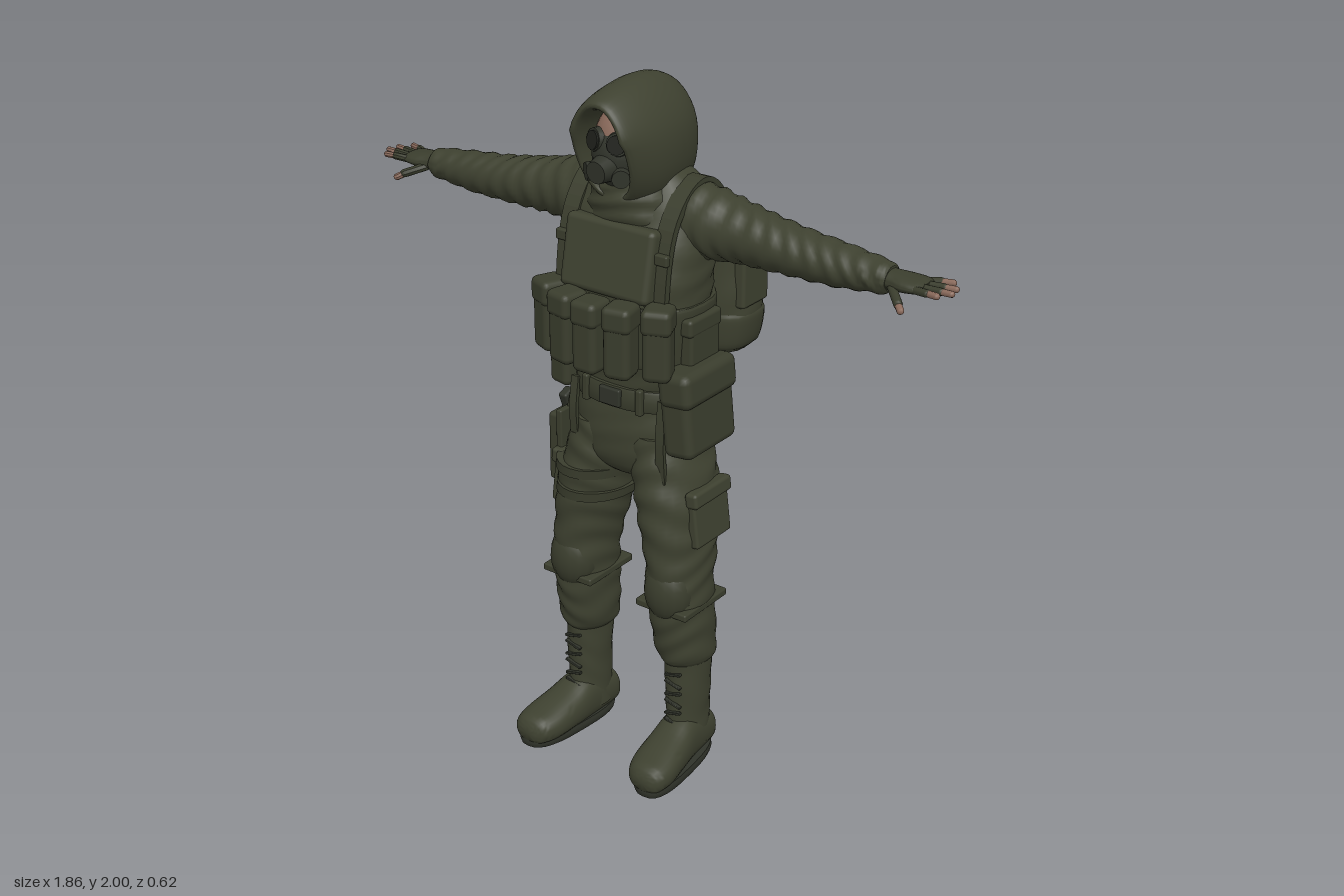
import * as THREE from 'three';
import { toCreasedNormals } from 'three/addons/utils/BufferGeometryUtils.js';
import { RoundedBoxGeometry } from 'three/addons/geometries/RoundedBoxGeometry.js';

const material = (name, color) => Object.assign(new THREE.MeshStandardMaterial({ color }), { name });

export function createModel() {
  const cloth = material('olive cloth', 0x3e4130);
  const gear = material('olive webbing', 0x3a3d2d);
  const rubber = material('dark rubber', 0x30332a);
  const glass = material('dark glass', 0x1f211c);
  const skin = material('skin', 0x8a6a5b);
  const model = new THREE.Group();
  model.name = 'soldier';

  const add = (name, geo, mat, pos = [0, 0, 0], rot = [0, 0, 0], scale = [1, 1, 1]) => {
    const mesh = new THREE.Mesh(geo, mat);
    mesh.name = name;
    mesh.position.set(...pos);
    mesh.rotation.set(...rot);
    mesh.scale.set(...scale);
    model.add(mesh);
    return mesh;
  };

  // Smooth skin through cross-sections [t, centreU, centreV, radiusU, radiusV].
  // Axis y: u = x, v = z. Axis x: u = z, v = y. Axis z: u = y, v = x.
  const loft = (rows, { axis = 'y', n = 2, sub = 5, seg = 28, wrinkle = 0, freq = 80, rule } = {}) => {
    const rings = [];
    for (let i = 0; i < rows.length - 1; i++) {
      const p = [rows[Math.max(i - 1, 0)], rows[i], rows[i + 1], rows[Math.min(i + 2, rows.length - 1)]];
      for (let k = 0; k < sub; k++) {
        const t = k / sub;
        rings.push(p[1].map((b, c) => b + 0.5 * t * (p[2][c] - p[0][c]
          + t * (2 * p[0][c] - 5 * b + 4 * p[2][c] - p[3][c]
          + t * (3 * b - p[0][c] - 3 * p[2][c] + p[3][c])))));
      }
    }
    rings.push(rows[rows.length - 1]);
    const pos = [], index = [];
    const put = (t, u, v) => {
      const q = axis === 'y' ? [u, t, v] : axis === 'x' ? [t, v, u] : [v, u, t];
      pos.push(...(rule ? rule(...q) : q));
    };
    const bend = (x) => Math.sign(x) * Math.abs(x) ** (2 / n);
    for (const [t, cu, cv, ru, rv] of rings) {
      for (let j = 0; j < seg; j++) {
        const a = j / seg * Math.PI * 2;
        const fold = 1 + wrinkle * Math.sin(t * freq + 2.2 * Math.sin(a * 2 + t * 9) + a);
        put(t, cu + ru * fold * bend(Math.cos(a)), cv + rv * fold * bend(Math.sin(a)));
      }
    }
    const last = rings.length - 1;
    for (const r of [rings[0], rings[last]]) put(r[0], r[1], r[2]);
    const base = rings.length * seg;
    for (let j = 0; j < seg; j++) {
      const k = (j + 1) % seg;
      for (let i = 0; i < last; i++) {
        const a = i * seg + j, b = i * seg + k;
        index.push(a, a + seg, b, b, a + seg, b + seg);
      }
      index.push(base, j, k, base + 1, last * seg + k, last * seg + j);
    }
    const geo = new THREE.BufferGeometry();
    geo.setAttribute('position', new THREE.Float32BufferAttribute(pos, 3));
    geo.setIndex(index);
    return toCreasedNormals(geo, 0.75);
  };

  // Reflected copy with corner order kept outward
  const reflect = (geo) => {
    const g = geo.index ? geo.toNonIndexed() : geo.clone();
    const p = g.attributes.position;
    for (let i = 0; i < p.count; i += 3) {
      const c = [0, 2, 1].map((k) => [-p.getX(i + k), p.getY(i + k), p.getZ(i + k)]);
      c.forEach((v, k) => p.setXYZ(i + k, ...v));
    }
    return toCreasedNormals(g, 0.75);
  };
  const pair = (name, geo, mat) => {
    add('left' + name, geo, mat);
    add('right' + name, reflect(geo), mat);
  };

  const box = (name, size, pos, mat = gear, rot) =>
    add(name, new RoundedBoxGeometry(...size, 2, Math.min(...size) * 0.25), mat, pos, rot);
  const pouch = (name, [w, h, d], [x, y, z], turn = 0) => {
    box(name, [w, h, d], [x, y, z], gear, [0, turn, 0]);
    box(name + 'Flap', [w * 1.08, h * 0.36, d * 1.1], [x, y + h * 0.34, z], gear, [0, turn, 0]);
  };

  // Flat strap following [z, y] points, with its width along x
  const strap = (name, pts, x, width, thick = 0.014) => {
    const curve = new THREE.SplineCurve(pts.map((p) => new THREE.Vector2(...p)));
    const line = curve.getPoints(20), side = [];
    line.forEach((p, i) => {
      const d = curve.getTangent(i / 20);
      side.push(new THREE.Vector2(p.x + d.y * thick, p.y - d.x * thick));
    });
    const geo = new THREE.ExtrudeGeometry(new THREE.Shape([...line, ...side.reverse()]), { depth: width, bevelEnabled: false });
    geo.rotateY(-Math.PI / 2).translate(x + width / 2, 0, 0);
    return add(name, geo, gear);
  };

  // Trousers and jacket
  add('hips', loft([[0.89, 0, 0.03, 0.09, 0.09], [0.93, 0, 0.03, 0.17, 0.125], [1.02, 0, 0.03, 0.19, 0.135],
    [1.12, 0, 0.03, 0.178, 0.125], [1.2, 0, 0.03, 0.168, 0.12]], { n: 2.3, wrinkle: 0.01 }), cloth);
  add('torso', loft([[1.15, 0, 0.03, 0.172, 0.12], [1.22, 0, 0.035, 0.182, 0.125], [1.32, 0, 0.04, 0.2, 0.135],
    [1.45, 0, 0.045, 0.212, 0.145], [1.55, 0, 0.035, 0.215, 0.135], [1.65, 0, 0.015, 0.2, 0.115],
    [1.72, 0, 0, 0.155, 0.095], [1.77, 0, 0.01, 0.09, 0.07]], { n: 2.5, wrinkle: 0.012 }), cloth);
  add('collar', loft([[1.62, 0, 0.04, 0.15, 0.11], [1.67, 0, 0.04, 0.135, 0.12], [1.72, 0, 0.035, 0.115, 0.12],
    [1.76, 0, 0.03, 0.1, 0.11]], { wrinkle: 0.03, freq: 120 }), cloth);
  pair('Sleeve', loft([[0.12, 0, 1.635, 0.08, 0.085], [0.2, 0, 1.63, 0.09, 0.097], [0.3, -0.008, 1.62, 0.081, 0.081],
    [0.4, -0.005, 1.612, 0.072, 0.071], [0.5, -0.006, 1.604, 0.066, 0.063], [0.6, -0.006, 1.6, 0.06, 0.057],
    [0.68, -0.004, 1.6, 0.053, 0.048], [0.735, -0.002, 1.6, 0.046, 0.042], [0.75, 0, 1.6, 0.036, 0.032]],
  { axis: 'x', sub: 8, wrinkle: 0.045, freq: 110 }), cloth);
  pair('TrouserLeg', loft([[0.325, 0.175, 0.045, 0.062, 0.075], [0.35, 0.173, 0.045, 0.078, 0.094],
    [0.42, 0.17, 0.055, 0.083, 0.102], [0.5, 0.168, 0.062, 0.084, 0.108], [0.58, 0.165, 0.07, 0.085, 0.112],
    [0.66, 0.16, 0.06, 0.09, 0.118], [0.75, 0.147, 0.05, 0.1, 0.13], [0.85, 0.13, 0.04, 0.108, 0.136],
    [0.95, 0.107, 0.03, 0.102, 0.135], [1.03, 0.09, 0.03, 0.095, 0.125]],
  { sub: 7, wrinkle: 0.028, freq: 75 }), cloth);

  // Boots
  pair('BootShaft', loft([[0.05, 0.178, 0.045, 0.058, 0.075], [0.15, 0.178, 0.045, 0.056, 0.075],
    [0.25, 0.178, 0.045, 0.06, 0.076], [0.36, 0.176, 0.045, 0.065, 0.08]], { wrinkle: 0.018, freq: 60 }), cloth);
  pair('BootFoot', loft([[-0.036, 0.06, 0.175, 0.04, 0.035], [-0.02, 0.07, 0.176, 0.058, 0.054],
    [0.08, 0.08, 0.182, 0.075, 0.06], [0.16, 0.068, 0.19, 0.06, 0.067], [0.24, 0.056, 0.2, 0.048, 0.07],
    [0.29, 0.05, 0.206, 0.04, 0.056], [0.308, 0.045, 0.208, 0.022, 0.03]], { axis: 'z', n: 2.4 }), cloth);
  const soleRule = (x, y, z) => [x + z * 0.1, y, z];
  pair('BootSole', loft([[0, 0.18, 0.136, 0.061, 0.168], [0.014, 0.18, 0.136, 0.066, 0.172],
    [0.03, 0.18, 0.136, 0.064, 0.17]], { n: 2.8, sub: 2, rule: soleRule }), rubber);
  for (const s of [-1, 1]) {
    for (let i = 0; i < 6; i++) {
      box('bootLace', [0.055, 0.008, 0.012], [s * 0.18, 0.14 + i * 0.032, 0.122], rubber, [0, 0, i % 2 ? 0.25 : -0.25]);
    }
    // Knee pads and cargo pockets
    add('kneePad', new THREE.SphereGeometry(1, 16, 12), gear, [s * 0.167, 0.575, 0.125], [0, 0, 0], [0.073, 0.095, 0.065]);
    box('kneePadBand', [0.172, 0.022, 0.2], [s * 0.166, 0.525, 0.065]);
    box('cargoPocket', [0.035, 0.16, 0.16], [s * 0.231, 0.8, 0.035], cloth, [0, 0, s * 0.12]);
    box('cargoFlap', [0.04, 0.045, 0.17], [s * 0.233, 0.865, 0.035], cloth, [0, 0, s * 0.12]);
  }

  // Gloves with bare fingertips
  pair('Glove', loft([[0.72, 0, 1.6, 0.034, 0.03], [0.76, -0.002, 1.6, 0.038, 0.026], [0.8, -0.004, 1.6, 0.048, 0.022],
    [0.835, -0.006, 1.6, 0.047, 0.017], [0.848, -0.006, 1.6, 0.038, 0.01]], { axis: 'x' }), gear);
  const finger = (name, from, to, r, mat) => {
    const a = new THREE.Vector3(...from), d = new THREE.Vector3(...to).sub(a);
    const geo = new THREE.CapsuleGeometry(r, d.length(), 3, 8);
    geo.applyQuaternion(new THREE.Quaternion().setFromUnitVectors(new THREE.Vector3(0, 1, 0), d.clone().normalize()));
    geo.translate(...a.addScaledVector(d, 0.5).toArray());
    pair(name, geo, mat);
  };
  [0.9, 0.922, 0.916, 0.89].forEach((tip, i) => {
    const z = 0.03 - i * 0.024, spread = 0.008 - i * 0.006;
    finger('Finger', [0.83, 1.6, z], [tip - 0.03, 1.603, z + spread], 0.0105, gear);
    finger('Fingertip', [tip - 0.025, 1.603, z + spread], [tip, 1.604, z + spread * 1.6], 0.009, skin);
  });
  finger('Thumb', [0.765, 1.59, 0.025], [0.81, 1.572, 0.07], 0.0125, gear);
  finger('ThumbTip', [0.812, 1.57, 0.072], [0.826, 1.562, 0.084], 0.01, skin);

  // Hood: closed shell whose rim folds back inside around the face
  add('hood', loft([[-0.122, 1.8, 0, 0.08, 0.05], [-0.1, 1.81, 0, 0.14, 0.09], [-0.04, 1.82, 0, 0.168, 0.115],
    [0.04, 1.825, 0, 0.175, 0.126], [0.12, 1.822, 0, 0.17, 0.122], [0.19, 1.822, 0, 0.152, 0.103],
    [0.212, 1.822, 0, 0.134, 0.085], [0.19, 1.82, 0, 0.122, 0.073], [0.1, 1.82, 0, 0.11, 0.066]],
  { axis: 'z', n: 2.25, seg: 36, rule: (x, y, z) => [
    x * (1 - 0.3 * Math.max(0, (y - 1.84) / 0.16) ** 2), y,
    z + Math.max(0, z) * (y > 1.86 ? 0.05 : (y - 1.86) * 1.7)] }), cloth);

  // Face, mask, lenses and filters
  add('face', new THREE.SphereGeometry(1, 24, 16), skin, [0, 1.835, 0.095], [0, 0, 0], [0.078, 0.105, 0.085]);
  add('mask', new THREE.SphereGeometry(1, 24, 16), rubber, [0, 1.808, 0.1], [0, 0, 0], [0.079, 0.1, 0.094]);
  for (const s of [-1, 1]) {
    add('lensFrame', new THREE.CylinderGeometry(0.03, 0.034, 0.02, 20), rubber, [s * 0.035, 1.85, 0.172], [1.4, 0, -s * 0.35]);
    add('lens', new THREE.CylinderGeometry(0.025, 0.025, 0.006, 20), glass, [s * 0.038, 1.851, 0.184], [1.4, 0, -s * 0.35]);
    add('filter', new THREE.CylinderGeometry(0.024, 0.026, 0.03, 18), rubber, [s * 0.048, 1.765, 0.178], [1.6, 0, -s * 0.65]);
  }
  add('breathingValve', new THREE.CylinderGeometry(0.03, 0.04, 0.05, 20), rubber, [0, 1.782, 0.197], [1.65, 0, 0]);

  // Vest, shoulder straps and magazine pouches
  box('chestPlate', [0.29, 0.2, 0.07], [0, 1.53, 0.152], cloth, [-0.2, 0, 0]);
  add('chestRig', loft([[1.245, 0, 0.04, 0.2, 0.143], [1.26, 0, 0.04, 0.206, 0.149], [1.4, 0, 0.044, 0.218, 0.155],
    [1.42, 0, 0.045, 0.213, 0.15]], { n: 2.6 }), gear);
  for (let i = -2; i <= 2; i++) {
    pouch('magazinePouch', [0.078, 0.2, 0.08], [i * 0.089, 1.343, 0.25 - 0.0145 * i * i], i * 0.2);
  }
  for (const s of [-1, 1]) {
    strap('shoulderStrap', [[-0.11, 1.56], [-0.1, 1.68], [-0.03, 1.74], [0.05, 1.725], [0.12, 1.65], [0.155, 1.55], [0.17, 1.43]], s * 0.155, 0.05, 0.02);
    box('strapBuckle', [0.056, 0.03, 0.02], [s * 0.155, 1.56, 0.155]);
    pouch('sidePouch', [0.04, 0.14, 0.13], [s * 0.21, 1.32, 0.05]);
  }

  // Belt, pouches and hanging straps
  add('belt', loft([[1.105, 0, 0.03, 0.184, 0.132], [1.112, 0, 0.03, 0.19, 0.138], [1.16, 0, 0.03, 0.187, 0.136],
    [1.167, 0, 0.03, 0.18, 0.13]], { n: 2.3, sub: 2 }), gear);
  box('beltBuckle', [0.07, 0.05, 0.018], [0, 1.137, 0.167], rubber);
  for (const x of [-0.09, 0.09]) box('beltLoop', [0.02, 0.075, 0.02], [x, 1.137, 0.157]);
  box('leftHipBag', [0.095, 0.24, 0.22], [0.225, 1.14, 0.08], gear, [0, 0, 0.1]);
  box('leftHipBagFlap', [0.105, 0.1, 0.235], [0.224, 1.215, 0.08], gear, [0, 0, 0.1]);
  pouch('rightHipPouch', [0.075, 0.15, 0.11], [-0.2, 1.175, 0.08], -0.2);
  for (const s of [-1, 1]) pouch('rearPouch', [0.09, 0.1, 0.04], [s * 0.09, 1.1, -0.1]);
  strap('leftHangingStrap', [[0.145, 1.15], [0.157, 1.03], [0.15, 0.91]], 0.155, 0.028, 0.012);
  strap('rightHangingStrap', [[0.145, 1.15], [0.157, 1.06], [0.152, 0.98]], -0.14, 0.024, 0.012);

  // Thigh holster
  box('holster', [0.045, 0.21, 0.09], [-0.262, 0.875, 0.045]);
  box('holsterPlate', [0.02, 0.2, 0.12], [-0.238, 0.9, 0.04]);
  box('pistolGrip', [0.03, 0.09, 0.042], [-0.262, 0.99, 0.02], rubber, [0.35, 0, 0]);
  box('holsterHanger', [0.012, 0.17, 0.04], [-0.222, 1.05, 0.04], gear, [0, 0, -0.22]);
  for (const y of [0.8, 0.87]) {
    add('thighStrap', loft([[y - 0.014, -0.136, 0.043, 0.113, 0.141], [y + 0.014, -0.132, 0.042, 0.114, 0.143]], { sub: 1 }), gear);
  }

  // Backpack
  add('backpack', loft([[1.19, 0, -0.2, 0.15, 0.06], [1.205, 0, -0.2, 0.19, 0.09], [1.28, 0, -0.196, 0.217, 0.104],
    [1.4, 0, -0.19, 0.216, 0.1], [1.52, 0, -0.185, 0.203, 0.095], [1.6, 0, -0.17, 0.172, 0.078],
    [1.645, 0, -0.155, 0.12, 0.045], [1.652, 0, -0.15, 0.07, 0.02]], { n: 3, wrinkle: 0.008, freq: 45 }), cloth);
  add('backpackBase', loft([[1.2, 0, -0.2, 0.17, 0.085], [1.22, 0, -0.2, 0.205, 0.104], [1.3, 0, -0.197, 0.222, 0.11],
    [1.325, 0, -0.195, 0.215, 0.102]], { n: 3 }), cloth);
  box('backpackPocket', [0.29, 0.22, 0.06], [0, 1.44, -0.272], cloth, [0.06, 0, 0]);
  box('backpackLid', [0.3, 0.055, 0.07], [0, 1.575, -0.235], cloth, [0.4, 0, 0]);
  for (const s of [-1, 1]) {
    strap('backpackStrap', [[-0.15, 1.655], [-0.215, 1.635], [-0.28, 1.55], [-0.302, 1.45], [-0.3, 1.33]], s * 0.085, 0.026, -0.012);
    box('backpackSidePocket', [0.04, 0.16, 0.12], [s * 0.205, 1.42, -0.19], cloth);
  }
  const handle = new THREE.TorusGeometry(0.04, 0.008, 8, 16, Math.PI);
  add('carryHandle', handle, gear, [0, 1.635, -0.14]);

  return model;
}
